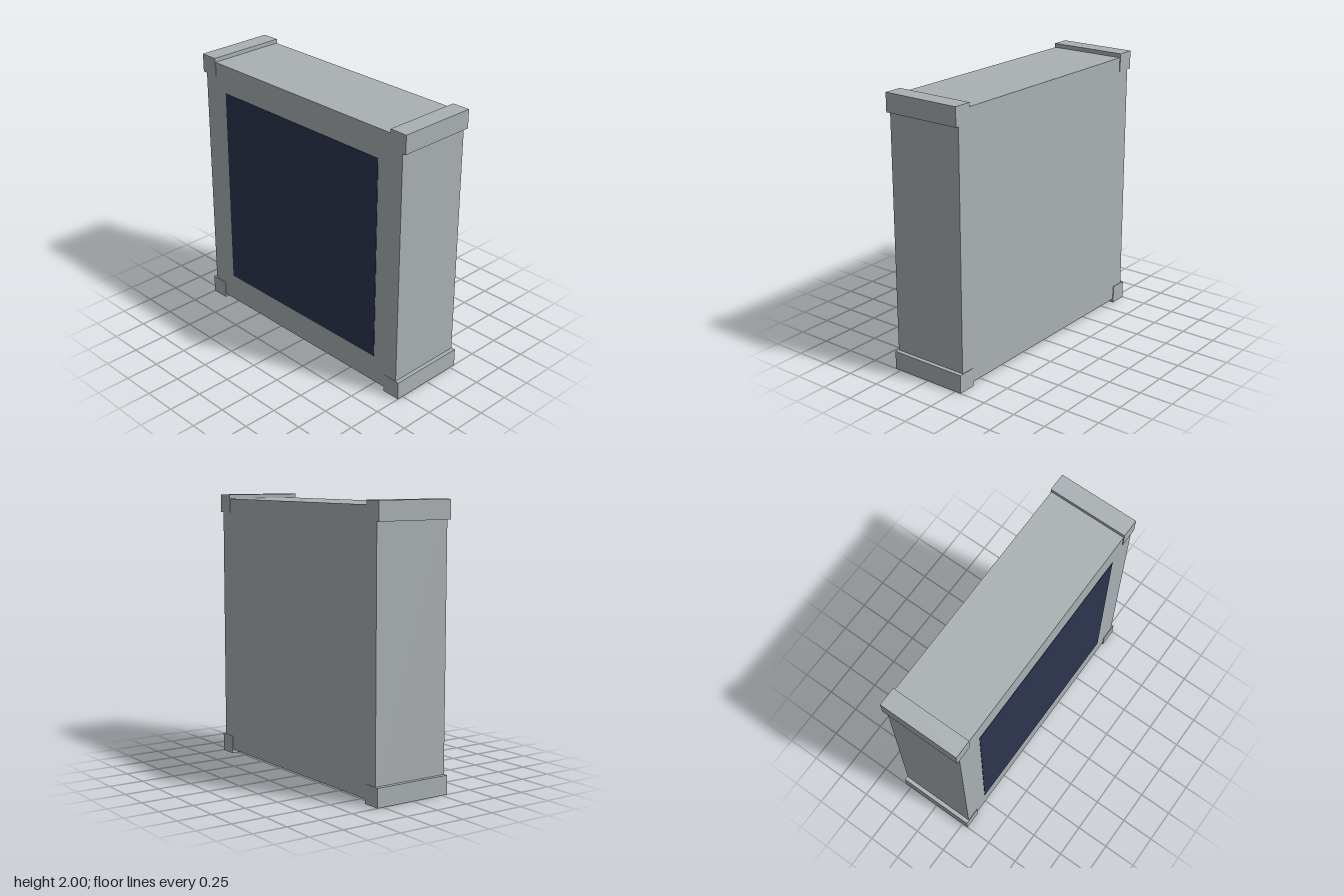
import * as THREE from 'three';

export function createModel() {
  const model = new THREE.Group();
  const casing = new THREE.MeshStandardMaterial({ color: 0xaab0b3 });
  casing.name = 'casing grey';
  const glass = new THREE.MeshStandardMaterial({ color: 0x2d3550 });
  glass.name = 'screen navy';

  const addBox = (name, material, size, position) => {
    const mesh = new THREE.Mesh(new THREE.BoxGeometry(...size), material);
    mesh.name = name;
    mesh.position.set(...position);
    model.add(mesh);
  };

  // Main casing
  addBox('casing', casing, [1.94, 1.94, 0.584], [0, 1, 0]);

  // Thin front panel
  addBox('screen', glass, [1.52, 1.52, 0.006], [0, 1, 0.292]);

  // Corner guards, running the full depth
  const guard = 0.135;
  for (const [sideName, sx] of [['left', 1], ['right', -1]]) {
    for (const [heightName, sy] of [['Upper', 1], ['Lower', -1]]) {
      addBox(`${sideName}${heightName}CornerGuard`, casing, [guard, guard, 0.594],
        [sx * (1 - guard / 2), 1 + sy * (1 - guard / 2), 0]);
    }
  }
  return model;
}
